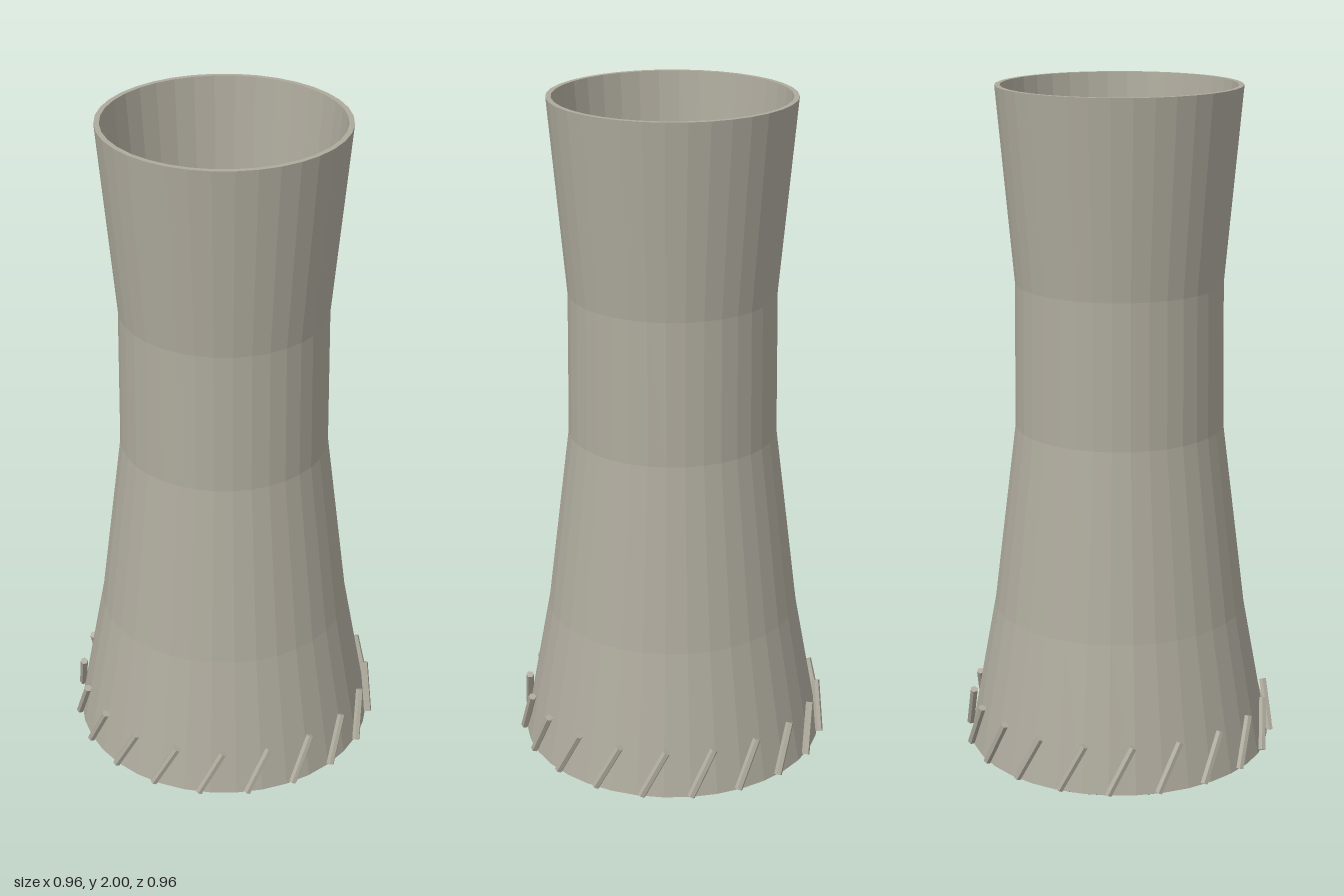
import * as THREE from 'three';

export function createModel() {
  const group = new THREE.Group();
  const concrete = new THREE.MeshStandardMaterial({ color: 0xaeaa9d, flatShading: true });
  concrete.name = 'concrete';
  const water = new THREE.MeshStandardMaterial({ color: 0x2f6680, flatShading: true });
  water.name = 'water';

  const add = (name, geometry, material) => {
    const mesh = new THREE.Mesh(geometry, material);
    mesh.name = name;
    group.add(mesh);
    return mesh;
  };

  // Hollow flared shell: outside going up, over the rim, inside going down
  const outer = [[0.46, 0.005], [0.38, 0.44], [0.31, 1.0], [0.305, 1.43], [0.355, 2.0]];
  const inner = [[0.34, 2.0], [0.289, 1.43], [0.294, 1.0], [0.364, 0.44], [0.444, 0.005]];
  const profile = [...outer, ...inner, outer[0]].map(([r, y]) => new THREE.Vector2(r, y));
  add('towerShell', new THREE.LatheGeometry(profile, 36), concrete);

  // Water basin closing the base
  add('waterBasin', new THREE.CylinderGeometry(0.45, 0.45, 0.02, 48), water).position.y = 0.01;

  // Ring of slanted struts, each leaning half a step round the base
  const count = 20;
  const step = (Math.PI * 2) / count;
  const up = new THREE.Vector3(0, 1, 0);
  const ringPoint = (angle, r, y) => new THREE.Vector3(Math.cos(angle) * r, y, Math.sin(angle) * r);
  const low = ringPoint(0, 0.468, 0.012);
  const length = low.distanceTo(ringPoint(-step / 2, 0.45, 0.152));
  const strutGeometry = new THREE.CylinderGeometry(0.012, 0.012, length, 6);
  for (let i = 0; i < count; i++) {
    const foot = ringPoint(i * step, 0.468, 0.012);
    const head = ringPoint((i - 0.5) * step, 0.45, 0.152);
    const strut = add('baseStrut', strutGeometry, concrete);
    strut.position.copy(foot).lerp(head, 0.5);
    strut.quaternion.setFromUnitVectors(up, head.sub(foot).normalize());
  }
  return group;
}
